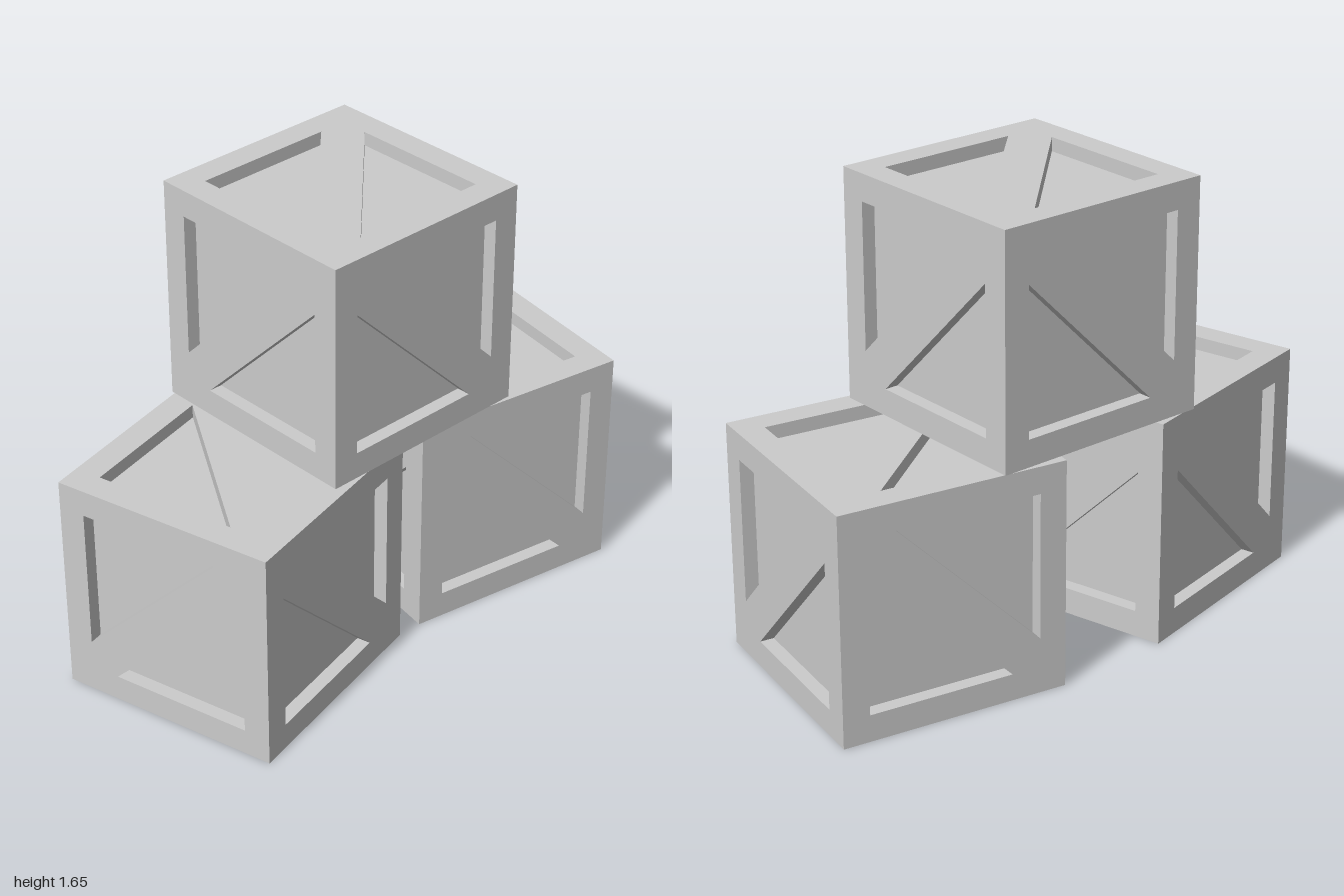
import * as THREE from 'three';

const SIZE = 0.824, H = SIZE / 2, DEPTH = 0.05;
const PANEL = 0.315; // half width of the recessed area
const LEG = 0.525;   // leg of each triangular recess

const material = new THREE.MeshStandardMaterial({ color: 0xcccccc, flatShading: true });

// One crate side: square frame with a diagonal brace, mitred towards the core.
// lean = 1: brace runs top left to bottom right, lean = -1: the other way.
function makeFrame(lean) {
  const shape = new THREE.Shape([[-H, -H], [H, -H], [H, H], [-H, H]].map(p => new THREE.Vector2(...p)));
  for (const s of [1, -1]) {
    const c = s * PANEL, e = s * (PANEL - LEG);
    shape.holes.push(new THREE.Path([[c, c], [e, c], [c, e]].map(([x, y]) => new THREE.Vector2(x * lean, y))));
  }
  const geo = new THREE.ExtrudeGeometry(shape, { depth: DEPTH, bevelEnabled: false });
  const pos = geo.attributes.position;
  const mitre = v => (Math.abs(v) > H - 0.001 ? Math.sign(v) * (H - DEPTH) : v);
  for (let i = 0; i < pos.count; i++) {
    if (pos.getZ(i) < DEPTH / 2) pos.setXY(i, mitre(pos.getX(i)), mitre(pos.getY(i)));
  }
  geo.translate(0, 0, H - DEPTH);
  geo.computeVertexNormals();
  return geo;
}

// name, brace lean, rotation about x, rotation about y
const SIDES = [
  ['frontFrame', 1, 0, 0],
  ['backFrame', 1, 0, Math.PI],
  ['leftFrame', -1, 0, Math.PI / 2],
  ['rightFrame', -1, 0, -Math.PI / 2],
  ['topFrame', -1, -Math.PI / 2, 0],
  ['bottomFrame', 1, Math.PI / 2, 0],
];

export function createModel() {
  const model = new THREE.Group();
  model.name = 'crateStack';
  const frames = { 1: makeFrame(1), [-1]: makeFrame(-1) };
  const inner = SIZE - 2 * DEPTH;
  const coreGeometry = new THREE.BoxGeometry(inner, inner, inner);

  function addCrate(name, x, level, z, degrees) {
    const crate = new THREE.Group();
    crate.name = name;
    // Recessed panels
    const core = new THREE.Mesh(coreGeometry, material);
    core.name = 'panels';
    crate.add(core);
    // Raised frames and braces
    for (const [side, lean, rx, ry] of SIDES) {
      const frame = new THREE.Mesh(frames[lean], material);
      frame.name = side;
      frame.rotation.set(rx, ry, 0);
      crate.add(frame);
    }
    crate.position.set(x, H + level * SIZE, z);
    crate.rotation.y = THREE.MathUtils.degToRad(degrees);
    model.add(crate);
  }

  addCrate('leftCrate', 0.588, 0, -0.172, 0);
  addCrate('rightCrate', -0.459, 0, 0.041, 23.7);
  addCrate('topCrate', 0.071, 1, -0.111, 10);
  return model;
}
